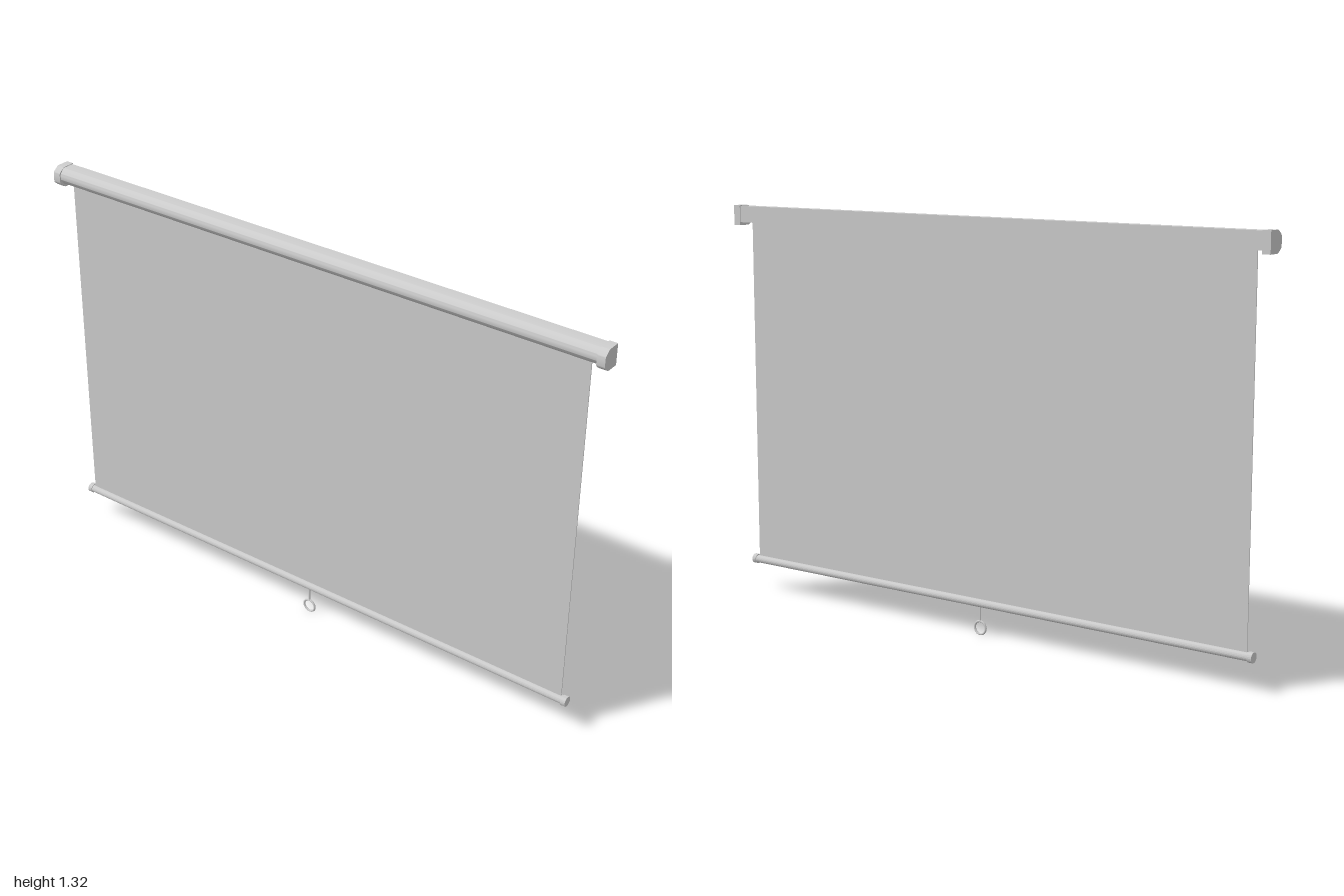
import * as THREE from 'three';
import { toCreasedNormals } from 'three/addons/utils/BufferGeometryUtils.js';

const material = new THREE.MeshStandardMaterial({ color: 0xcccccc });

function add(parent, name, geometry, x = 0, y = 0, z = 0) {
  const mesh = new THREE.Mesh(geometry, material);
  mesh.name = name;
  mesh.position.set(x, y, z);
  parent.add(mesh);
  return mesh;
}

// Housing section: flat back and top, softly rounded front. Drawn as (z, y).
function housingShape(back, front, bottom, top) {
  const s = new THREE.Shape();
  s.moveTo(back, bottom);
  s.lineTo(0.007, bottom);
  s.quadraticCurveTo(0.012, bottom, 0.017, bottom + 0.004);
  s.lineTo(front - 0.005, bottom + 0.012);
  s.quadraticCurveTo(front, bottom + 0.016, front, bottom + 0.022);
  s.lineTo(front, top - 0.022);
  s.quadraticCurveTo(front, top - 0.016, front - 0.005, top - 0.012);
  s.lineTo(0.017, top - 0.004);
  s.quadraticCurveTo(0.012, top, 0.007, top);
  s.lineTo(back, top);
  s.closePath();
  return s;
}

// Elliptical section for the weight bar
function ovalShape(rz, ry) {
  return new THREE.Shape().absellipse(0, 0, rz, ry, 0, Math.PI * 2);
}

// Extrude a (z, y) section along x, centred on x = 0
function alongX(shape, length) {
  const g = new THREE.ExtrudeGeometry(shape, { depth: length, bevelEnabled: false, curveSegments: 10 });
  g.translate(0, 0, -length / 2);
  g.rotateY(-Math.PI / 2);
  return toCreasedNormals(g, 0.6);
}

export function createModel() {
  const model = new THREE.Group();
  model.name = 'pullDownScreen';

  // Long housing between two slightly larger end caps
  add(model, 'housing', alongX(housingShape(-0.028, 0.028, 1.261, 1.315), 1.96));
  const capSection = housingShape(-0.031, 0.032, 1.251, 1.317);
  for (const side of [-1, 1]) {
    add(model, side > 0 ? 'leftHousingCap' : 'rightHousingCap', alongX(capSection, 0.026), side * 0.987);
  }

  // Hanging fabric
  add(model, 'screenFabric', new THREE.BoxGeometry(1.89, 1.17, 0.003), 0, 0.69, 0);

  // Weight bar with end caps
  add(model, 'bottomBar', alongX(ovalShape(0.0145, 0.013), 1.91), 0, 0.105);
  for (const side of [-1, 1]) {
    add(model, side > 0 ? 'leftBarCap' : 'rightBarCap', alongX(ovalShape(0.017, 0.016), 0.015), side * 0.959, 0.105);
  }

  // Pull cord and ring
  add(model, 'pullCord', new THREE.CylinderGeometry(0.003, 0.003, 0.05, 12), 0, 0.071);
  add(model, 'pullRing', new THREE.TorusGeometry(0.021, 0.0035, 12, 40), 0, 0.0245);

  return model;
}
